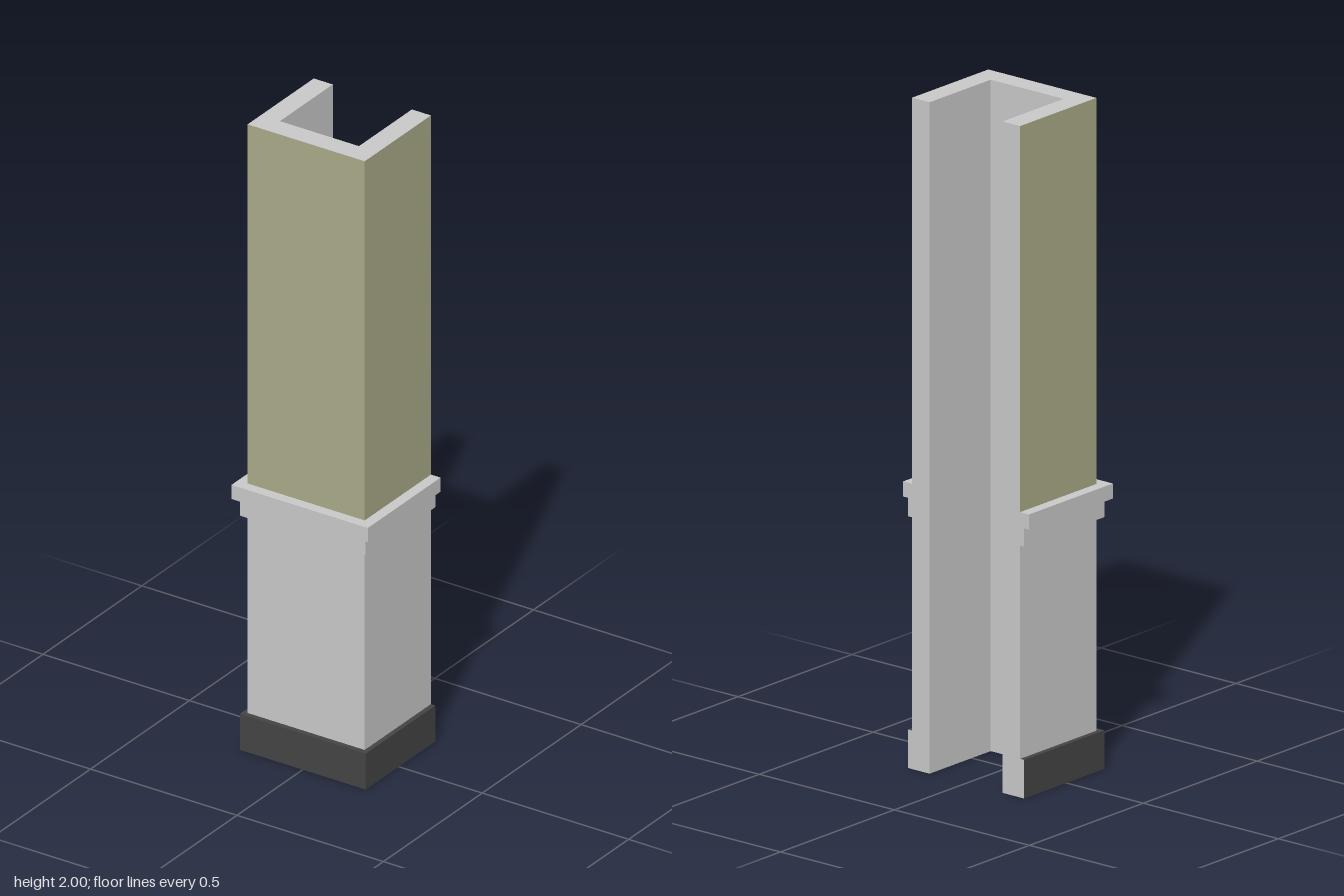
import * as THREE from 'three';

const stone = new THREE.MeshStandardMaterial({ color: 0xc8c8c8 });
stone.name = 'paleGrey';
const olive = new THREE.MeshStandardMaterial({ color: 0xaaaa88 });
olive.name = 'olive';
const dark = new THREE.MeshStandardMaterial({ color: 0x444444 });
dark.name = 'darkGrey';

const BACK = -0.185;     // open rear of the channel
const INNER_X = 0.135;   // inner half width
const INNER_Z = 0.083;   // inner face of the front wall

// U-shaped section, open at the back, from y0 to y1.
// Outward faces (and the ledge, if wanted) take the paint; the rest stays grey.
function channel(name, halfWidth, front, y0, y1, paint = stone, paintTop = false) {
  const outline = [
    [-halfWidth, BACK], [-halfWidth, front], [halfWidth, front], [halfWidth, BACK],
    [INNER_X, BACK], [INNER_X, INNER_Z], [-INNER_X, INNER_Z], [-INNER_X, BACK],
  ];
  const shape = new THREE.Shape(outline.map(([x, z]) => new THREE.Vector2(x, -z)));
  const geometry = new THREE.ExtrudeGeometry(shape, { depth: y1 - y0, bevelEnabled: false });
  geometry.rotateX(-Math.PI / 2).translate(0, y0, 0);

  // Choose a material for each triangle from the way it faces
  const pos = geometry.attributes.position;
  const normal = geometry.attributes.normal;
  geometry.clearGroups();
  for (let i = 0; i < pos.count; i += 3) {
    const outerSide = normal.getX(i) * pos.getX(i) > 0.05;
    const outerFront = normal.getZ(i) > 0.5;
    const ledge = paintTop && normal.getY(i) > 0.5;
    geometry.addGroup(i, 3, outerSide || outerFront || ledge ? 1 : 0);
  }
  const mesh = new THREE.Mesh(geometry, [stone, paint]);
  mesh.name = name;
  return mesh;
}

export function createModel() {
  const model = new THREE.Group();
  model.name = 'columnCladding';
  model.add(
    channel('skirting', 0.215, 0.167, 0, 0.115, dark, true),
    channel('lowerWall', 0.2, 0.15, 0.115, 0.75),
    channel('lowerRail', 0.215, 0.167, 0.75, 0.805),
    channel('upperRail', 0.233, 0.183, 0.805, 0.85),
    channel('upperWall', 0.2, 0.15, 0.85, 2, olive),
  );
  return model;
}
